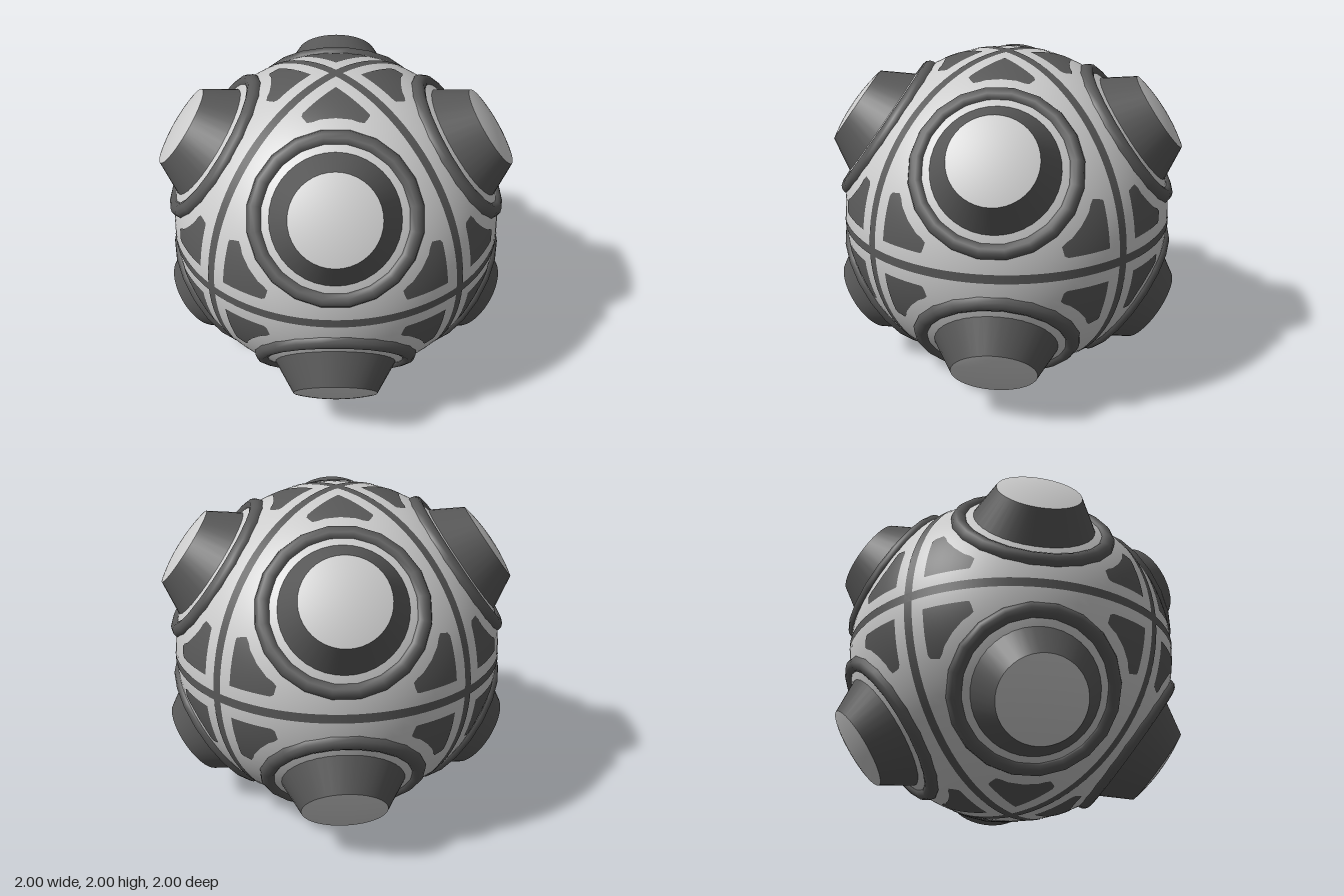
import * as THREE from 'three';

const light = new THREE.MeshStandardMaterial({ color: 0xcccccc });
light.name = 'lightGrey';
const dark = new THREE.MeshStandardMaterial({ color: 0x585858 });
dark.name = 'darkGrey';

function mesh(name, geometry, material, parent) {
  const m = new THREE.Mesh(geometry, material);
  m.name = name;
  parent.add(m);
  return m;
}

// Inset panel: slanted columns [bottomX, bottomY, topX, topY], bulged onto the sphere
const COLUMNS = [
  [0.1, 0.1, 0.1, 0.355], [0.115, 0.1, 0.112, 0.375], [0.16, 0.1, 0.165, 0.385],
  [0.19, 0.1, 0.187, 0.36], [0.205, 0.1, 0.205, 0.326], [0.26, 0.1, 0.262, 0.262],
  [0.32, 0.1, 0.326, 0.205], [0.35, 0.1, 0.36, 0.187], [0.36, 0.1, 0.385, 0.165],
  [0.37, 0.105, 0.378, 0.13],
];

// axis picks which pole the panel sits beside; s holds the octant signs
function panelGeometry(axis, s) {
  const rows = 8, pos = [], normal = [], index = [];
  const flip = s[0] * s[1] * s[2] < 0;
  COLUMNS.forEach(([x0, y0, x1, y1], i) => {
    for (let j = 0; j <= rows; j++) {
      const t = j / rows;
      const a = x0 + (x1 - x0) * t, b = y0 + (y1 - y0) * t;
      const local = [a, b, Math.sqrt(1 - a * a - b * b)];
      const p = [0, 1, 2].map((k) => local[(k + axis) % 3] * s[k]);
      pos.push(...p);
      normal.push(...p);
      if (i && j) {
        const d = i * (rows + 1) + j, c = d - 1, b2 = d - rows - 1, a2 = b2 - 1;
        if (flip) index.push(a2, d, c, a2, b2, d);
        else index.push(a2, c, d, a2, d, b2);
      }
    }
  });
  const g = new THREE.BufferGeometry();
  g.setAttribute('position', new THREE.Float32BufferAttribute(pos, 3));
  g.setAttribute('normal', new THREE.Float32BufferAttribute(normal, 3));
  g.setIndex(index);
  return g;
}

// Conical pod with a collar and a domed cap, pointing along +y from the centre
function createPod() {
  const pod = new THREE.Group();
  pod.name = 'pod';
  const low = 0.82, high = 1.117;
  const cone = mesh('podCone', new THREE.CylinderGeometry(0.25, 0.422, high - low, 40, 1, true), dark, pod);
  cone.position.y = (low + high) / 2;
  const collar = mesh('podCollar', new THREE.TorusGeometry(0.437, 0.048, 12, 20), dark, pod);
  collar.rotation.x = Math.PI / 2;
  collar.position.y = 0.88;
  const capRadius = Math.hypot(high, 0.25);
  mesh('podCap', new THREE.SphereGeometry(capRadius, 40, 6, 0, Math.PI * 2, 0, Math.asin(0.25 / capRadius)), light, pod);
  return pod;
}

export function createModel() {
  const model = new THREE.Group();
  model.name = 'studdedSphere';
  const ball = new THREE.Group();
  ball.name = 'ball';
  ball.position.y = 1;
  model.add(ball);

  mesh('body', new THREE.SphereGeometry(0.997, 96, 64), light, ball);

  // Three great-circle bands
  const turns = [[0, 0, 0], [Math.PI / 2, 0, 0], [0, 0, Math.PI / 2]];
  for (const r of turns) {
    const band = mesh('band', new THREE.CylinderGeometry(1, 1, 0.054, 96, 1, true), dark, ball);
    band.rotation.set(...r);
  }

  // One pod and three panels in each octant
  const up = new THREE.Vector3(0, 1, 0);
  for (const x of [-1, 1]) for (const y of [-1, 1]) for (const z of [-1, 1]) {
    const pod = createPod();
    pod.quaternion.setFromUnitVectors(up, new THREE.Vector3(x, y, z).normalize());
    ball.add(pod);
    for (let axis = 0; axis < 3; axis++) {
      mesh('insetPanel', panelGeometry(axis, [x, y, z]), dark, ball);
    }
  }
  return model;
}
